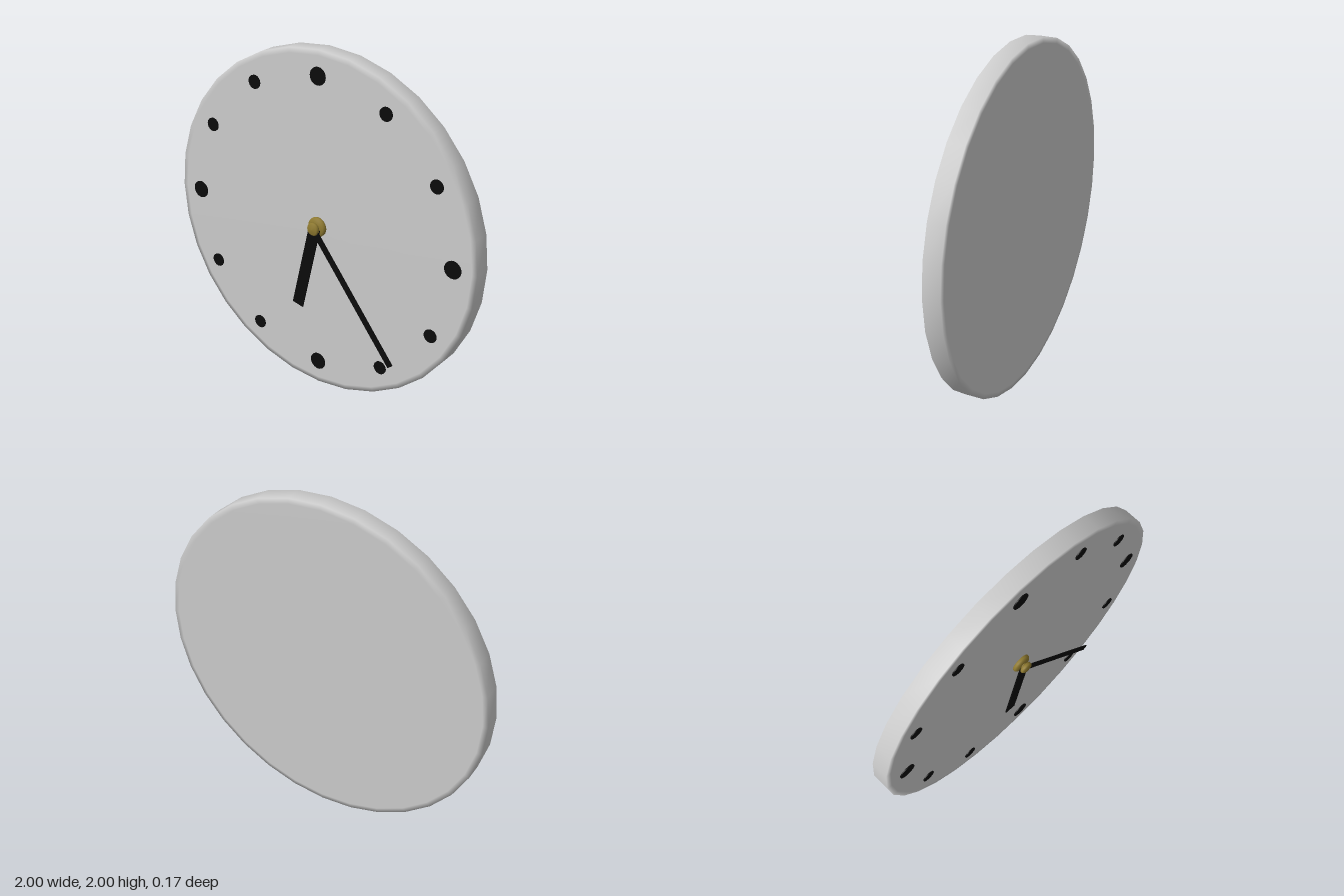
import * as THREE from 'three';

const grey = new THREE.MeshStandardMaterial({ color: 0xcccccc });
const black = new THREE.MeshStandardMaterial({ color: 0x0a0a0a });
const brass = new THREE.MeshStandardMaterial({ color: 0x8f7a30 });

export function createModel() {
  const clock = new THREE.Group();
  clock.name = 'wallClock';
  const face = new THREE.Group(); // origin at the dial centre
  face.position.y = 1;
  clock.add(face);

  const add = (name, geometry, material) => {
    const mesh = new THREE.Mesh(geometry, material);
    mesh.name = name;
    face.add(mesh);
    return mesh;
  };

  // Profile of [radius, z] pairs turned about the z axis
  const turned = (profile, sides) =>
    new THREE.LatheGeometry(profile.map(([r, z]) => new THREE.Vector2(r, z)), sides).rotateX(Math.PI / 2);

  // Dial disc, smooth across the rim
  const back = -0.085, front = 0.022;
  add('dial', turned([[0, back], [0.97, back], [1, back + 0.003], [1, front - 0.003], [0.97, front], [0, front]], 32), grey);

  // Hour markers, larger at the quarters
  for (let i = 0; i < 12; i++) {
    const quarter = i % 3 === 0;
    const angle = (i * Math.PI) / 6;
    const radius = quarter ? 0.05 : 0.039;
    const dot = add('hourMarker', new THREE.CylinderGeometry(radius, radius, 0.016, 24).rotateX(Math.PI / 2), black);
    dot.position.set(0.86 * Math.sin(angle), 0.86 * Math.cos(angle), 0.02);
  }

  // Hands: thin bars from the centre to a tip
  const addHand = (name, x, y, z, width) => {
    const length = Math.hypot(x, y);
    const hand = add(name, new THREE.BoxGeometry(width, length, 0.007).translate(0, length / 2, 0), black);
    hand.position.z = z;
    hand.rotation.z = Math.atan2(-x, y);
  };
  addHand('hourHand', -0.119, -0.508, 0.056, 0.072);
  addHand('minuteHand', 0.525, -0.683, 0.067, 0.036);

  // Brass hub: rounded base, spindle and cap
  add('hubBase', turned([[0, 0.018], [0.05, 0.018], [0.057, 0.024], [0.057, 0.036], [0.048, 0.046], [0.022, 0.05], [0, 0.05]], 24), brass);
  add('spindle', new THREE.CylinderGeometry(0.02, 0.02, 0.03, 20).rotateX(Math.PI / 2), brass).position.z = 0.06;
  add('hubCap', turned([[0, 0.056], [0.03, 0.056], [0.037, 0.061], [0.037, 0.073], [0.03, 0.081], [0, 0.084]], 24), brass);

  return clock;
}
